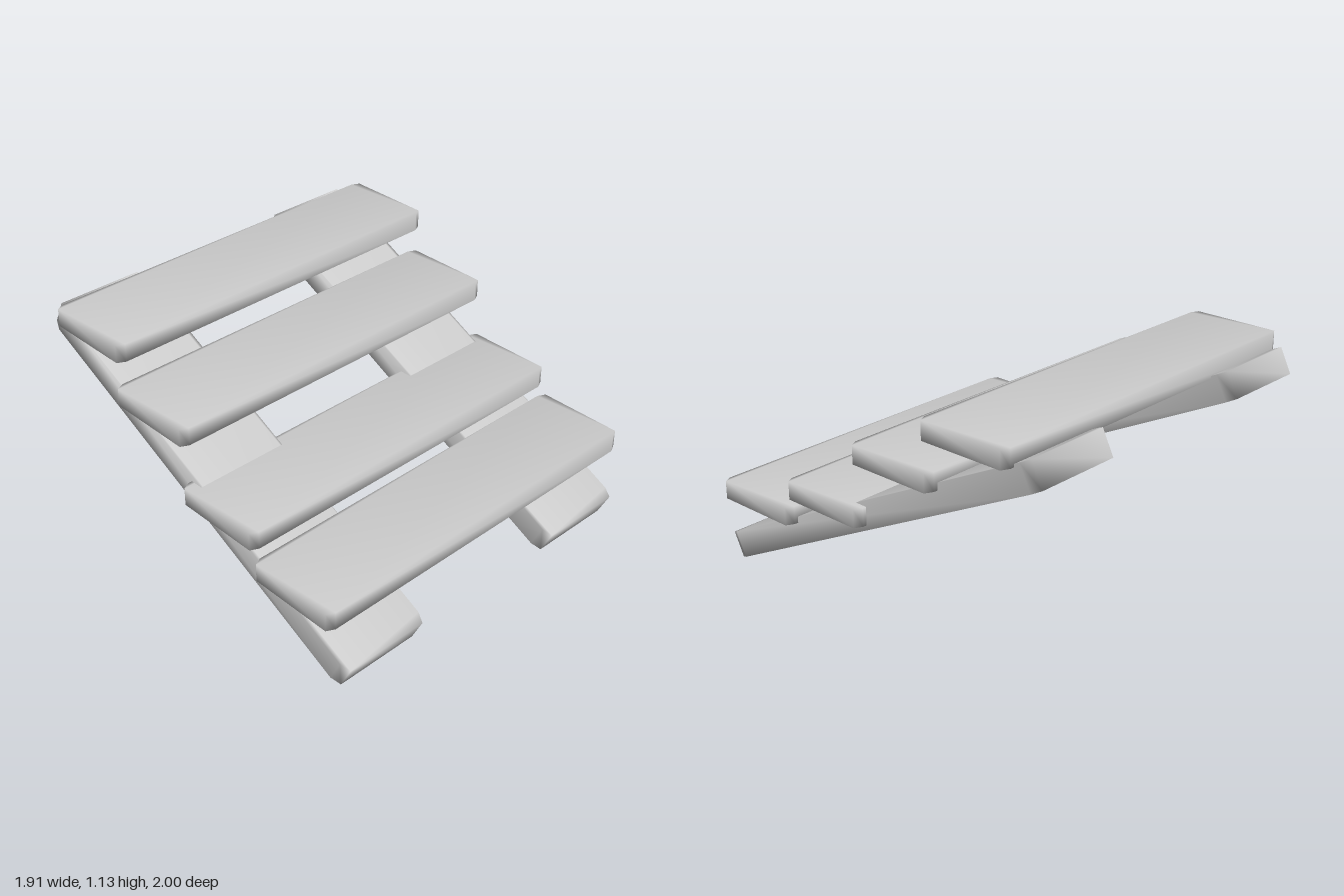
import * as THREE from 'three';
import { mergeVertices } from 'three/addons/utils/BufferGeometryUtils.js';

const material = new THREE.MeshStandardMaterial({ color: 0xcccccc });

// Plank lying flat, long along x, with clipped corners and softly blended normals
function plankGeometry(length, width, thickness, cutLength, cutWidth) {
  const a = length / 2, b = width / 2;
  const outline = new THREE.Shape([
    [a, -b + cutWidth], [a, b - cutWidth], [a - cutLength, b], [-a + cutLength, b],
    [-a, b - cutWidth], [-a, -b + cutWidth], [-a + cutLength, -b], [a - cutLength, -b],
  ].map(([x, y]) => new THREE.Vector2(x, y)));
  let geometry = new THREE.ExtrudeGeometry(outline, { depth: thickness, bevelEnabled: false });
  geometry.translate(0, 0, -thickness / 2);
  geometry.rotateX(-Math.PI / 2);
  geometry.deleteAttribute('uv');
  geometry.deleteAttribute('normal');
  geometry = mergeVertices(geometry);
  geometry.computeVertexNormals();
  return geometry;
}

export function createModel() {
  const group = new THREE.Group();

  function add(name, geometry, x, y, z) {
    const mesh = new THREE.Mesh(geometry, material);
    mesh.name = name;
    mesh.position.set(x, y, z);
    group.add(mesh);
    return mesh;
  }

  // Four unevenly spaced treads, lowest first: centre height and depth
  const tread = plankGeometry(1.91, 0.475, 0.09, 0.04, 0.02);
  [[0.395, 0.715], [0.54, 0.24], [0.85, -0.207], [1.083, -0.632]].forEach(([y, z], i) => {
    add('tread' + (i + 1), tread, 0, y, z);
  });

  // Two sloping boards carrying the treads, rising to the back
  const slope = Math.atan2(0.97, 1.945);
  const board = plankGeometry(2.173, 0.476, 0.132, 0.05, 0.02);
  board.rotateY(Math.PI / 2);
  board.rotateX(slope);
  add('leftStringer', board, 0.658, 0.545, 0);
  add('rightStringer', board, -0.658, 0.545, 0);

  return group;
}
